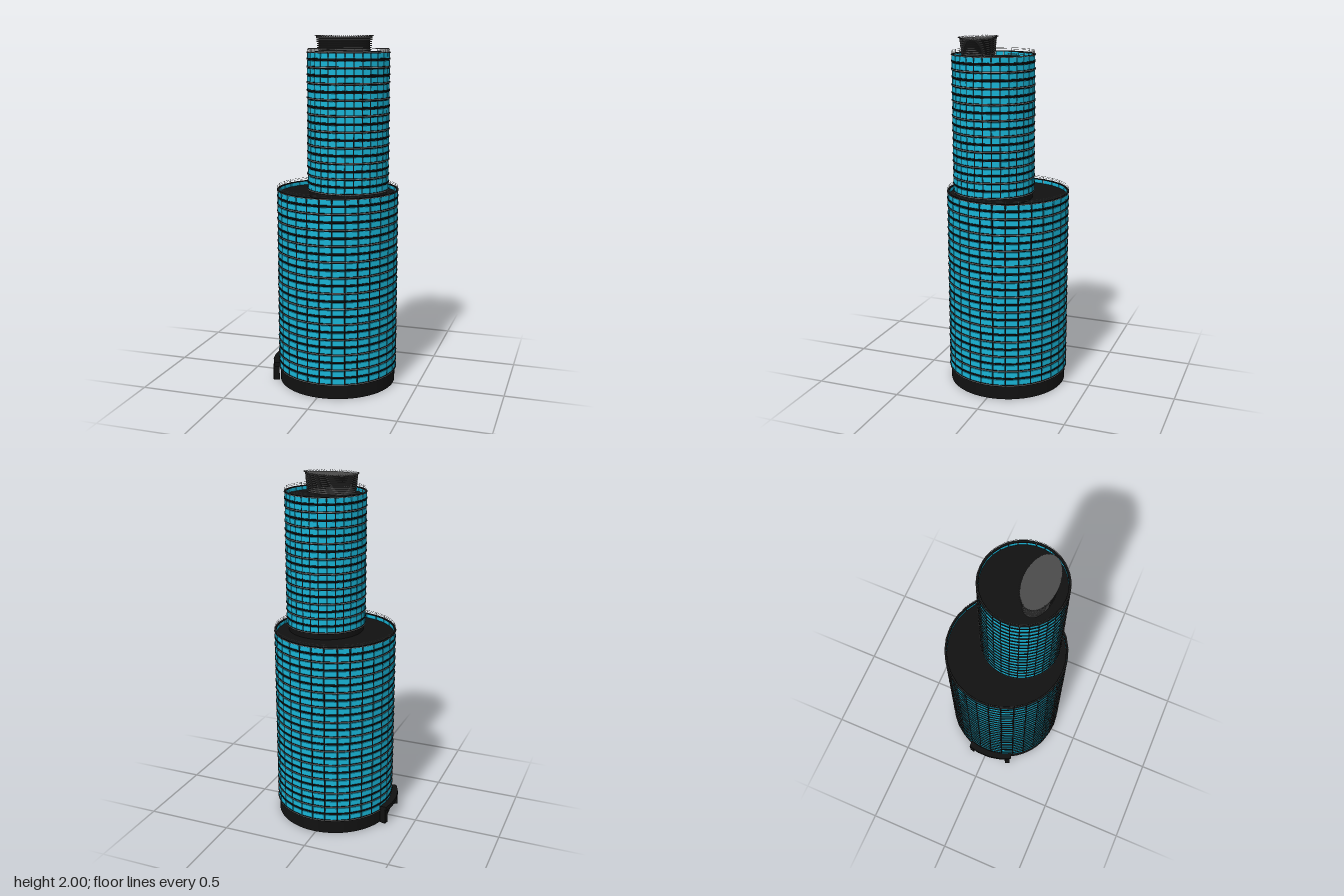
import * as THREE from 'three';
import { mergeGeometries } from 'three/addons/utils/BufferGeometryUtils.js';

const paint = (color, extra = {}) => new THREE.MeshStandardMaterial({ color, ...extra });
const black = paint(0x111111);
const glass = paint(0x18b4d6);
const trim = paint(0x858585);
const charcoal = paint(0x4a4a4a);
const SIDES = 30;

function add(parent, name, geometry, material) {
  const mesh = new THREE.Mesh(geometry, material);
  mesh.name = name;
  parent.add(mesh);
  return mesh;
}

// A box standing on a circle, turned to face outward
function facing(w, h, d, radius, y, angle) {
  return new THREE.BoxGeometry(w, h, d).translate(0, y, radius).rotateY(angle);
}

// One box per bay around the circle; "fill" is the share of the bay it covers
function bayRing(outer, y, h, depth, fill) {
  const step = (2 * Math.PI) / SIDES;
  const face = outer * Math.cos(step / 2);
  const w = 2 * outer * Math.sin(step / 2) * fill;
  return Array.from({ length: SIDES }, (_, i) =>
    facing(w, h, depth, face - depth / 2, y, (i + 0.5) * step));
}

// A glazed round tower section with floors, ledges, parapet and railing
function drum(name, { x, z, r, y0, y1, floors, trimEvery }) {
  const group = new THREE.Group();
  group.name = name;
  group.position.set(x, 0, z);
  const pitch = (y1 - y0) / floors;
  const roof = y1 - 0.025;

  const core = new THREE.CylinderGeometry(r - 0.011, r - 0.011, roof - y0, 60);
  add(group, 'core', core.translate(0, (roof + y0) / 2, 0), black);

  const windows = [], ledges = [], trims = [];
  for (let f = 0; f < floors; f++) {
    const y = y0 + f * pitch;
    windows.push(...bayRing(r - 0.003, y + pitch * 0.57, pitch * 0.66, 0.008, 0.88));
    ledges.push(...bayRing(r, y + pitch * 0.12, pitch * 0.2, 0.012, 0.95));
    if (f % trimEvery === 0)
      trims.push(...bayRing(r + 0.001, y + pitch * 0.12, pitch * 0.09, 0.012, 0.95));
  }
  ledges.push(...bayRing(r, y1 - 0.003, 0.006, 0.012, 0.95));
  trims.push(...bayRing(r + 0.001, y1 - 0.003, 0.003, 0.012, 0.95));
  add(group, 'windows', mergeGeometries(windows), glass);
  add(group, 'floorLedges', mergeGeometries(ledges), black);
  add(group, 'ledgeTrim', mergeGeometries(trims), trim);

  // Vertical mullions between the bays
  const mullions = [];
  for (let i = 0; i < SIDES; i++)
    mullions.push(facing(0.006, roof - y0, 0.006, r - 0.008, (roof + y0) / 2, (i * 2 * Math.PI) / SIDES));
  add(group, 'mullions', mergeGeometries(mullions), black);

  // Roof railing
  const rail = [0.009, 0.017].map((h) =>
    new THREE.TorusGeometry(r - 0.005, 0.0008, 4, 60).rotateX(Math.PI / 2).translate(0, y1 + h, 0));
  for (let i = 0; i < SIDES; i++)
    rail.push(facing(0.0015, 0.018, 0.0015, r - 0.005, y1 + 0.009, (i * 2 * Math.PI) / SIDES));
  add(group, 'railing', mergeGeometries(rail), trim);
  return group;
}

// Oval rooftop crown of stacked fins, widening upward
function crown() {
  const group = new THREE.Group();
  group.name = 'crown';
  group.position.set(0.095, 0, 0.142);
  const oval = (rx, rz, h, y) =>
    new THREE.CylinderGeometry(1, 1, h, 64).scale(rx, 1, rz).translate(0, y, 0);
  add(group, 'crownCore', oval(0.143, 0.075, 0.105, 1.935), black);
  const fins = [];
  const count = 10;
  for (let i = 0; i < count; i++) {
    const t = i / (count - 1);
    fins.push(oval(0.147 + 0.008 * t, 0.079 + 0.01 * t, 0.006, 1.89 + 0.097 * t));
  }
  add(group, 'crownFins', mergeGeometries(fins), charcoal);

  // Fine needles around the top edge
  const needles = [];
  for (let i = 0; i < 90; i++) {
    const a = (i / 90) * 2 * Math.PI;
    needles.push(new THREE.BoxGeometry(0.0015, 0.0015, 0.014)
      .rotateX(-0.6).rotateY(a)
      .translate(0.158 * Math.sin(a), 1.9945, 0.092 * Math.cos(a)));
  }
  add(group, 'crownNeedles', mergeGeometries(needles), charcoal);
  return group;
}

// Entrance canopy: a faceted arc slab on end piers
function canopy() {
  const group = new THREE.Group();
  group.name = 'entranceCanopy';
  const edge = [[-0.35, -0.107], [-0.365, -0.04], [-0.365, 0.04], [-0.35, 0.11], [-0.32, 0.175]];
  const inner = [[-0.28, 0.165], [-0.31, 0.08], [-0.32, 0], [-0.305, -0.107]];
  const shape = new THREE.Shape([...edge, ...inner].map(([x, z]) => new THREE.Vector2(x, -z)));
  const slab = new THREE.ExtrudeGeometry(shape, { depth: 0.025, bevelEnabled: false });
  add(group, 'canopySlab', slab.rotateX(-Math.PI / 2).translate(0, 0.085, 0), black);
  for (const [x, z, turn] of [[-0.331, -0.09, -0.25], [-0.318, 0.148, 0.45]]) {
    const pier = add(group, 'canopyPier', new THREE.BoxGeometry(0.035, 0.09, 0.03), black);
    pier.position.set(x, 0.045, z);
    pier.rotation.y = turn;
  }
  return group;
}

export function createModel() {
  const model = new THREE.Group();
  model.name = 'roundTower';

  // Ground floor plinth
  const base = new THREE.CylinderGeometry(0.338, 0.338, 0.085, 60);
  add(model, 'base', base.translate(0.015, 0.0425, 0), black);

  model.add(drum('lowerTower', { x: 0.015, z: 0, r: 0.348, y0: 0.08, y1: 1.14, floors: 24, trimEvery: 2 }));

  // Recessed neck between the two drums
  const neck = new THREE.CylinderGeometry(0.217, 0.217, 0.06, 60);
  add(model, 'neck', neck.translate(0.0935, 1.135, 0.055), black);

  model.add(drum('upperTower', { x: 0.0935, z: 0.055, r: 0.23, y0: 1.15, y1: 1.91, floors: 18, trimEvery: 2 }));
  model.add(crown(), canopy());
  return model;
}
